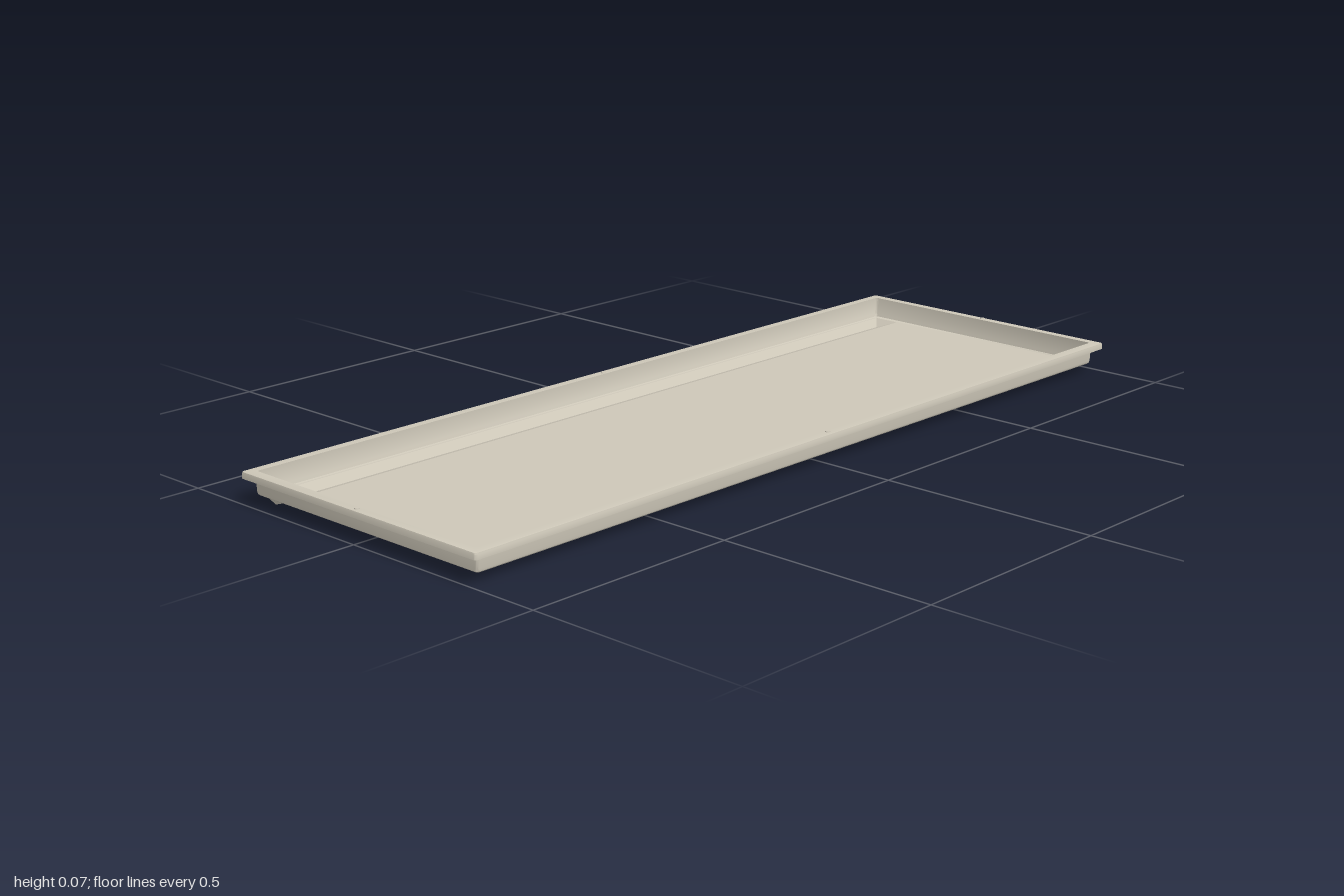
import * as THREE from 'three';
import { toCreasedNormals } from 'three/addons/utils/BufferGeometryUtils.js';

// Points [x, z] around a rectangle with rounded corners
function roundedLoop(hx, hz, r, steps = 3) {
  const points = [];
  const signs = [[1, 1], [-1, 1], [-1, -1], [1, -1]];
  signs.forEach(([sx, sz], corner) => {
    for (let i = 0; i <= steps; i++) {
      const a = (corner + i / steps) * Math.PI / 2;
      points.push([sx * (hx - r) + r * Math.cos(a), sz * (hz - r) + r * Math.sin(a)]);
    }
  });
  return points;
}

// Indexed surface, smooth on the bends and sharp on the edges
function surface(positions, index) {
  const g = new THREE.BufferGeometry();
  g.setAttribute('position', new THREE.Float32BufferAttribute(positions, 3));
  g.setIndex(index);
  return toCreasedNormals(g, 0.6);
}

// Skin through rounded rectangles [halfX, halfZ, y]
function loft(sections, r) {
  const positions = [], index = [];
  const n = roundedLoop(1, 1, r).length;
  sections.forEach(([hx, hz, y], s) => {
    roundedLoop(hx, hz, r).forEach(([x, z]) => positions.push(x, y, z));
    if (!s) return;
    for (let i = 0; i < n; i++) {
      const a = (s - 1) * n + i, b = (s - 1) * n + (i + 1) % n;
      index.push(a, a + n, b, b, a + n, b + n);
    }
  });
  return surface(positions, index);
}

// Flat plate with an opening for the gutter, facing up or down
function floorPlate(hx, hz, r, y, gutter, up) {
  const flip = up ? -1 : 1;
  const toVec = ([x, z]) => new THREE.Vector2(x, flip * z);
  const shape = new THREE.Shape(roundedLoop(hx, hz, r).map(toVec));
  const { w, front, back } = gutter;
  shape.holes.push(new THREE.Path([[-w, front], [w, front], [w, back], [-w, back]].map(toVec)));
  return new THREE.ShapeGeometry(shape).rotateX(flip * Math.PI / 2).translate(0, y, 0);
}

// V-shaped gutter with sloping ends
function gutterTrough({ w, front, back, tipW, tipY }, y, up) {
  const positions = [
    -w, y, front, w, y, front, w, y, back, -w, y, back,
    -tipW, tipY, -0.3, tipW, tipY, -0.3,
  ];
  const index = [0, 1, 5, 0, 5, 4, 2, 3, 4, 2, 4, 5, 1, 2, 5, 3, 0, 4];
  if (!up) index.reverse();
  return surface(positions, index);
}

export function createModel() {
  const model = new THREE.Group();
  model.name = 'tray';
  const plastic = new THREE.MeshStandardMaterial({ color: 0xcdc7b8 });
  plastic.name = 'warm grey plastic';

  const add = (name, geometry) => {
    const mesh = new THREE.Mesh(geometry, plastic);
    mesh.name = name;
    model.add(mesh);
    return mesh;
  };

  // Outer wall, overhanging rim and inner wall in one skin
  add('wallsAndRim', loft([
    [0.970, 0.322, 0.018],
    [0.976, 0.327, 0.0195],
    [0.979, 0.329, 0.022],
    [0.980, 0.330, 0.027],
    [0.981, 0.331, 0.055],
    [1.000, 0.350, 0.055],
    [1.000, 0.350, 0.066],
    [0.999, 0.349, 0.069],
    [0.996, 0.346, 0.070],
    [0.977, 0.327, 0.070],
    [0.975, 0.326, 0.029],
    [0.973, 0.323, 0.023],
    [0.968, 0.319, 0.021],
  ], 0.006));

  // Floor and drainage gutter, inside and underneath
  const inner = { w: 0.964, front: -0.25, back: -0.316, tipW: 0.945, tipY: 0.003 };
  const outer = { w: 0.966, front: -0.25, back: -0.320, tipW: 0.955, tipY: 0 };
  add('floor', floorPlate(0.968, 0.319, 0.006, 0.021, inner, true));
  add('underside', floorPlate(0.970, 0.322, 0.006, 0.018, outer, false));
  add('gutter', gutterTrough(inner, 0.021, true));
  add('gutterUnderside', gutterTrough(outer, 0.018, false));

  // Small nubs at the middle of each rim side
  for (const [x, z] of [[0, 0.335], [0, -0.335], [0.988, 0], [-0.988, 0]]) {
    add('rimNub', new THREE.CylinderGeometry(0.005, 0.006, 0.004, 16)).position.set(x, 0.07, z);
  }
  return model;
}
